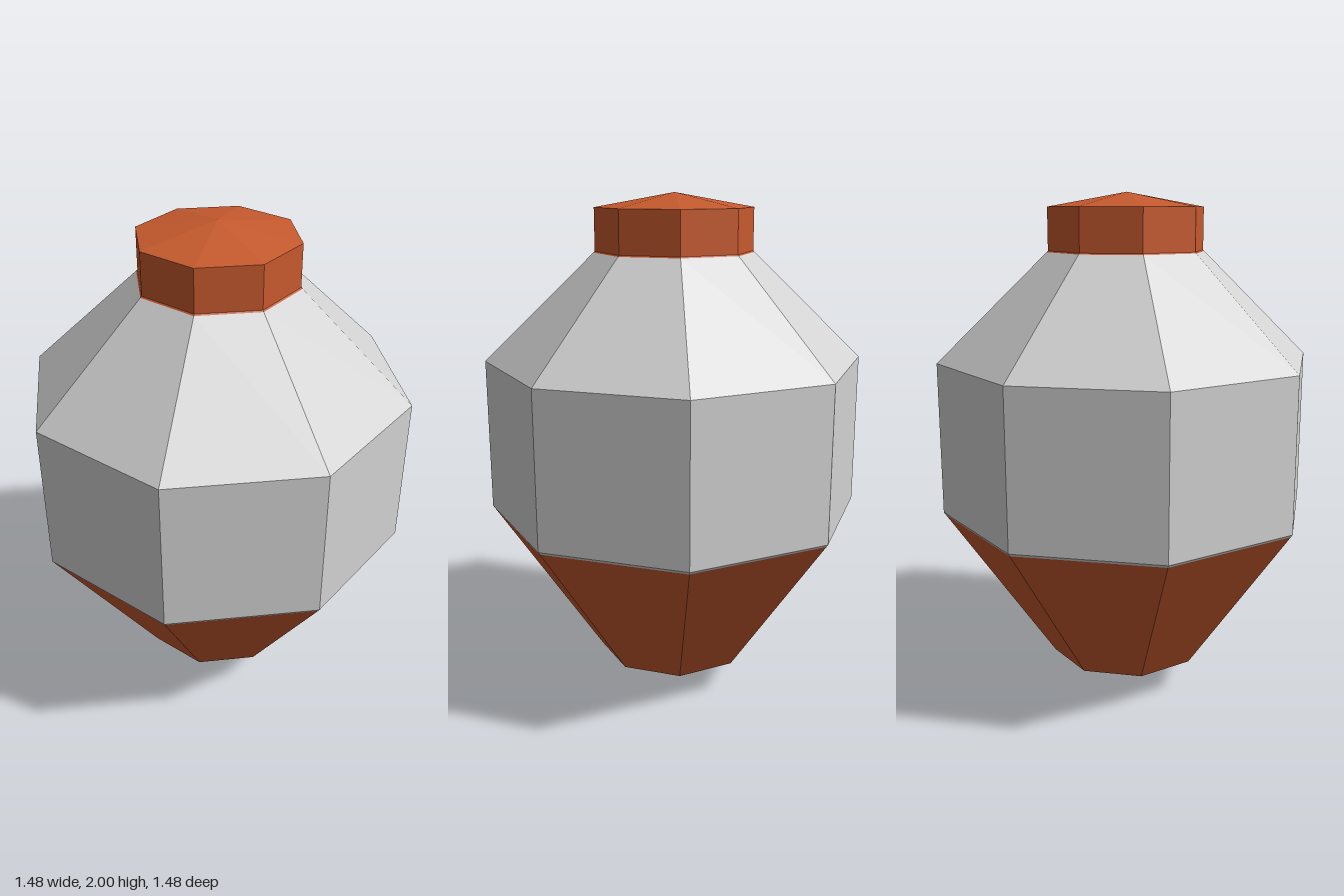
import * as THREE from 'three';

const SIDES = 8;

export function createModel() {
  const group = new THREE.Group();
  group.name = 'vessel';

  const makeMaterial = (name, color) => {
    const m = new THREE.MeshStandardMaterial({ color, flatShading: true });
    m.name = name;
    return m;
  };
  const grey = makeMaterial('light grey', 0xd2d2d2);
  const orange = makeMaterial('burnt orange', 0xc65a2e);

  // Eight-sided turned part; profile of [radius, height] from bottom to top
  const addTurned = (name, profile, material) => {
    const points = profile.map(([r, y]) => new THREE.Vector2(r, y));
    const mesh = new THREE.Mesh(new THREE.LatheGeometry(points, SIDES), material);
    mesh.name = name;
    group.add(mesh);
  };

  // Tapered base ending in a shallow point
  addTurned('base', [[0, 0], [0.305, 0.135], [0.733, 0.757]], orange);

  // Straight belly with a thin turned-under lip, and sloping shoulders
  addTurned('body', [[0.733, 0.757], [0.74, 0.767], [0.74, 1.363], [0.31, 1.777]], grey);

  // Stopper with a low pyramid top
  addTurned('cap', [[0.31, 1.777], [0.305, 1.782], [0.305, 1.945], [0, 2]], orange);

  return group;
}
